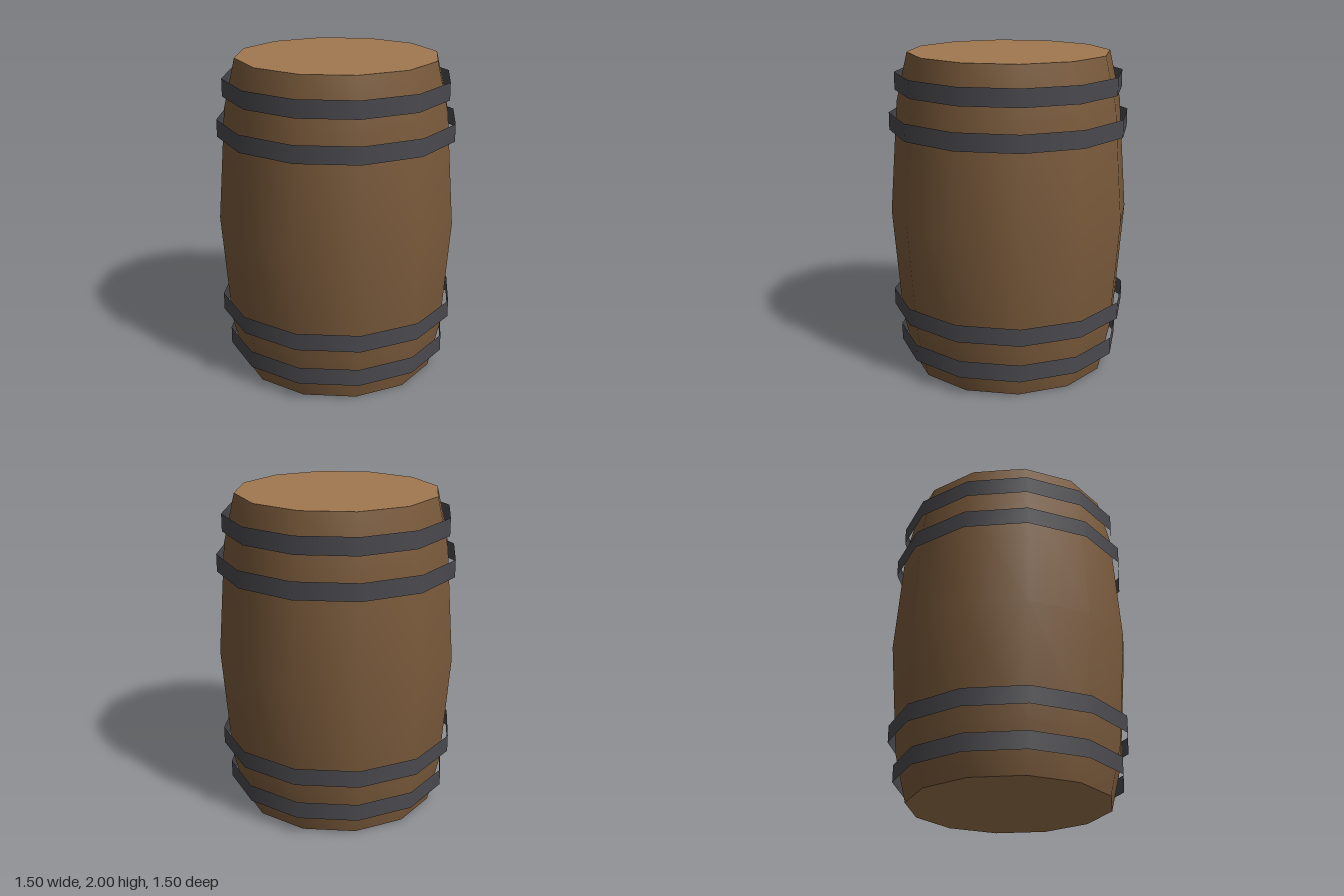
import * as THREE from 'three';

const SIDES = 12;

export function createModel() {
  const barrel = new THREE.Group();
  barrel.name = 'barrel';

  const wood = new THREE.MeshStandardMaterial({ color: 0x7a5a3b });
  wood.name = 'dark wood';
  const lidWood = new THREE.MeshStandardMaterial({ color: 0xa0784f });
  lidWood.name = 'light wood';
  const iron = new THREE.MeshStandardMaterial({ color: 0x4a4a4f, side: THREE.DoubleSide });
  iron.name = 'dark iron';

  const add = (name, geometry, material, y = 0) => {
    const mesh = new THREE.Mesh(geometry, material);
    mesh.name = name;
    mesh.position.y = y;
    barrel.add(mesh);
    return mesh;
  };

  // Bulging body, smooth around a twelve-sided outline
  const profile = [[0.625, 0], [0.695, 0.3], [0.748, 1], [0.695, 1.7], [0.625, 2]]
    .map(([r, y]) => new THREE.Vector2(r, y));
  add('body', new THREE.LatheGeometry(profile, SIDES), wood);

  // Flat ends
  const disc = new THREE.CircleGeometry(0.625, SIDES);
  add('lid', disc, lidWood, 2).rotation.x = -Math.PI / 2;
  add('base', disc, lidWood, 0).rotation.x = Math.PI / 2;

  // Thin straight hoops, mirrored about the middle
  for (const [name, radius, offset] of [['outerHoop', 0.705, 0.825], ['innerHoop', 0.745, 0.577]]) {
    const band = new THREE.CylinderGeometry(radius, radius, 0.108, SIDES, 1, true);
    add(name + 'Top', band, iron, 1 + offset);
    add(name + 'Bottom', band, iron, 1 - offset);
  }

  return barrel;
}
